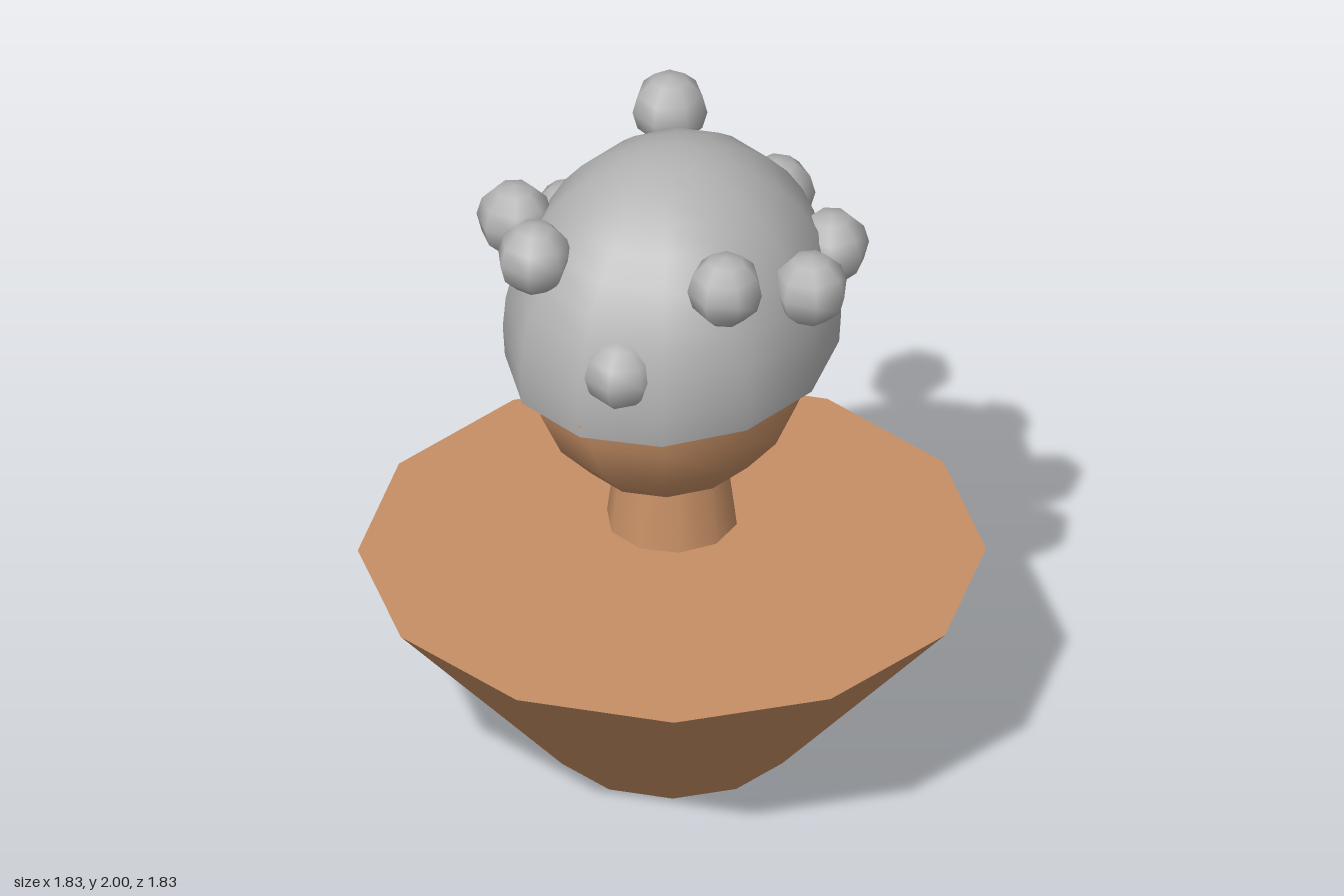
import * as THREE from 'three';

export function createModel() {
  const model = new THREE.Group();
  const skin = new THREE.MeshStandardMaterial({ name: 'skin', color: 0xc68f65 });
  const grey = new THREE.MeshStandardMaterial({ name: 'greyHair', color: 0xb4b4b4, side: THREE.DoubleSide });

  const add = (name, geometry, material, x, y, z) => {
    const mesh = new THREE.Mesh(geometry, material);
    mesh.name = name;
    mesh.position.set(x, y, z);
    model.add(mesh);
    return mesh;
  };

  // Flared bust, with the neck floating above it
  add('torso', new THREE.CylinderGeometry(0.915, 0.37, 0.625, 12), skin, 0, 0.3125, 0);
  add('neck', new THREE.CylinderGeometry(0.16, 0.193, 0.26, 10), skin, 0, 0.87, 0);

  // Egg-shaped head
  add('head', new THREE.SphereGeometry(1, 12, 10), skin, 0, 1.41, 0).scale.set(0.43, 0.515, 0.495);

  // Nose tip just poking through the hair
  const nose = add('nose', new THREE.ConeGeometry(0.05, 0.13, 8), skin, 0, 1.37, 0.492);
  nose.rotation.x = Math.PI / 2;

  // Open shell of hair over the upper head
  const shell = new THREE.SphereGeometry(1, 12, 10, 0, Math.PI * 2, 0, Math.PI * 0.55);
  add('hairCap', shell, grey, 0, 1.42, 0).scale.set(0.474, 0.58, 0.55);

  // Round curls around the hair, each turned to face outward
  const curls = [
    [-0.235, 1.86, -0.4], [0.09, 1.64, -0.46], [0.36, 1.63, -0.305],
    [0.465, 1.69, 0], [0.35, 1.82, 0.3], [0.09, 1.54, 0.46],
    [-0.235, 1.8, 0.4], [-0.44, 1.73, 0.155], [-0.44, 1.55, -0.165],
  ];
  const curlGeometry = new THREE.SphereGeometry(0.112, 7, 6);
  curls.forEach(([x, y, z], i) => {
    add(`curl${i + 1}`, curlGeometry, grey, x, y, z).rotation.y = Math.atan2(z, -x);
  });

  return model;
}
